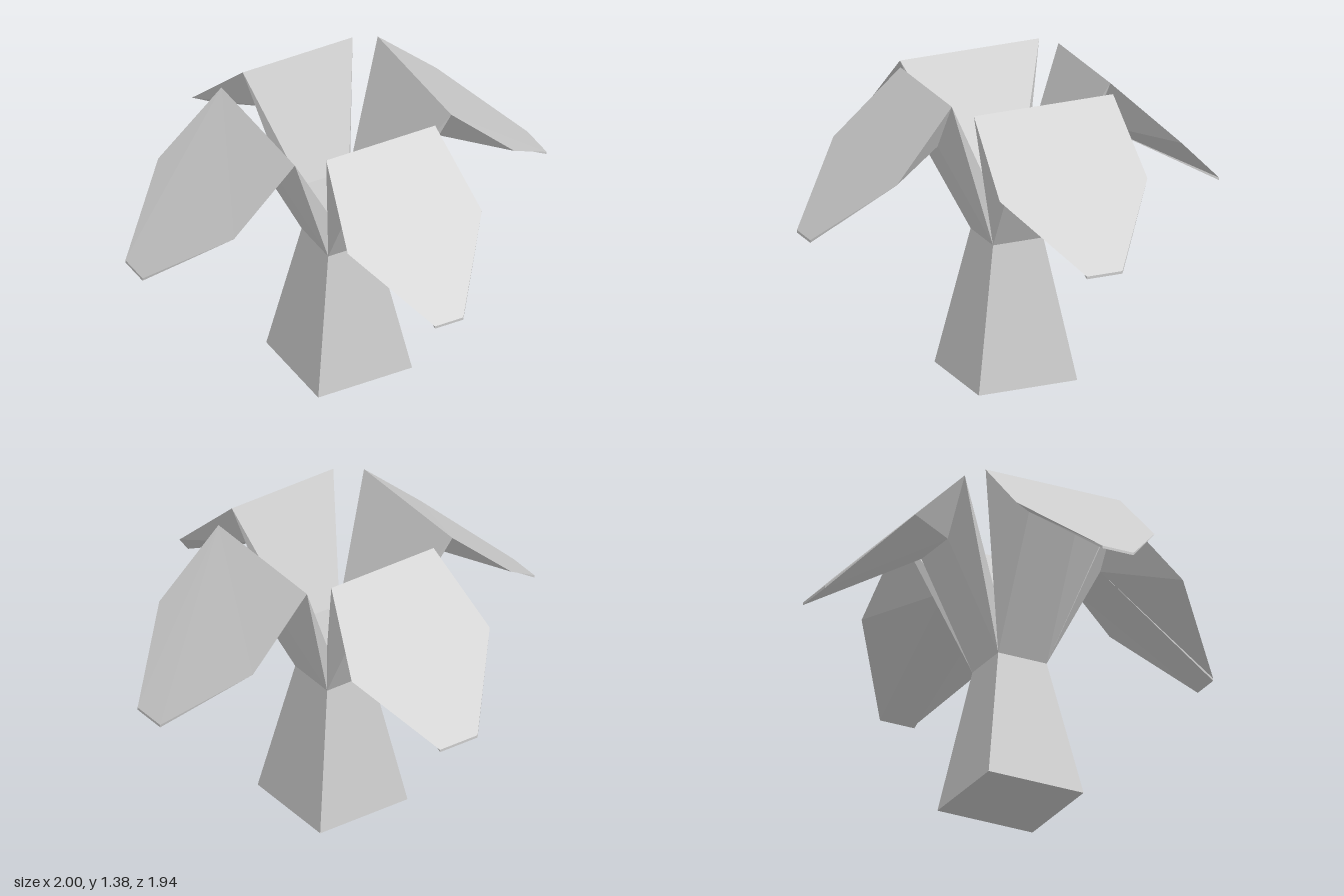
import * as THREE from 'three';

const material = new THREE.MeshStandardMaterial({ color: 0xcccccc, flatShading: true });

// Flat-shaded mesh from convex polygons (lists of [x, y, z] corners), each split into a fan
function polyMesh(name, faces) {
  const pos = [];
  for (const f of faces) {
    for (let i = 1; i < f.length - 1; i++) pos.push(...f[0], ...f[i], ...f[i + 1]);
  }
  const geo = new THREE.BufferGeometry();
  geo.setAttribute('position', new THREE.Float32BufferAttribute(pos, 3));
  geo.computeVertexNormals();
  const mesh = new THREE.Mesh(geo, material);
  mesh.name = name;
  return mesh;
}

// Petal on a slanted stem, pointing to +z.
// Each section is [distance out, height, left edge, right edge].
function petal({ name, neck, ridge, mid, tip, under }) {
  const pair = ([z, y, x0, x1]) => [[x0, y, z], [x1, y, z]];
  const N = pair([neck[0], 0.64, neck[1], neck[2]]);        // stem foot
  const A = pair([neck[0], 0.87, neck[1], neck[2]]);        // stem inner foot
  const R = pair(ridge);                                    // top ridge
  const M = pair(mid);                                      // widest point
  const T = pair(tip);                                      // tip, upper edge
  const B = pair([tip[0], tip[1] - 0.012, tip[2], tip[3]]); // tip, lower edge
  const U = pair([ridge[0], under, neck[1], neck[2]]);      // stem top below the petal
  const faces = [
    [R[0], M[0], T[0], T[1], M[1], R[1]], // upper surface
    [A[0], R[0], R[1], A[1]],             // inner slope
    [N[0], N[1], U[1], U[0]],             // stem underside
    [U[0], U[1], B[1], B[0]],             // petal underside
    [T[0], B[0], B[1], T[1]],             // tip edge
  ];
  // Side facets, mirrored
  for (const s of [0, 1]) {
    const side = [
      [N[s], A[s], R[s]],
      [N[s], R[s], U[s]],
      [R[s], M[s], U[s]],
      [M[s], T[s], B[s], U[s]],
    ];
    faces.push(...(s ? side : side.map((f) => f.reverse())));
  }
  return polyMesh(name, faces);
}

export function createModel() {
  const group = new THREE.Group();
  group.name = 'flower';

  // Tapered square trunk
  const square = (y, x0, x1, z0, z1) => [[x0, y, z1], [x1, y, z1], [x1, y, z0], [x0, y, z0]];
  const base = square(0, -0.225, 0.24, -0.24, 0.23);
  const top = square(0.64, -0.11, 0.125, -0.13, 0.11);
  const walls = base.map((p, i) => {
    const j = (i + 1) % 4;
    return [p, base[j], top[j], top[i]];
  });
  group.add(polyMesh('trunk', [...walls, [...base].reverse()]));

  // Small square floor between the petals
  group.add(polyMesh('centre', [square(0.87, -0.11, 0.125, -0.13, 0.11)]));

  // Four petals in quarter turns: front, left, back, right
  const petals = [
    { name: 'frontPetal', neck: [0.11, -0.11, 0.125], ridge: [0.375, 1.375, -0.265, 0.275],
      mid: [0.67, 1.08, -0.32, 0.345], tip: [0.967, 0.785, -0.05, 0.09], under: 1.14 },
    { name: 'leftPetal', neck: [0.125, -0.11, 0.13], ridge: [0.385, 1.36, -0.32, 0.345],
      mid: [0.69, 1.07, -0.335, 0.37], tip: [1, 0.785, -0.06, 0.11], under: 1.13 },
    { name: 'backPetal', neck: [0.13, -0.125, 0.11], ridge: [0.38, 1.37, -0.28, 0.265],
      mid: [0.675, 1.08, -0.38, 0.355], tip: [0.972, 0.785, -0.12, 0.08], under: 1.13 },
    { name: 'rightPetal', neck: [0.11, -0.13, 0.11], ridge: [0.39, 1.355, -0.345, 0.32],
      mid: [0.695, 1.07, -0.36, 0.325], tip: [1, 0.795, -0.1, 0.055], under: 1.2 },
  ];
  petals.forEach((p, i) => {
    const mesh = petal(p);
    mesh.rotation.y = (i * Math.PI) / 2;
    group.add(mesh);
  });

  return group;
}
